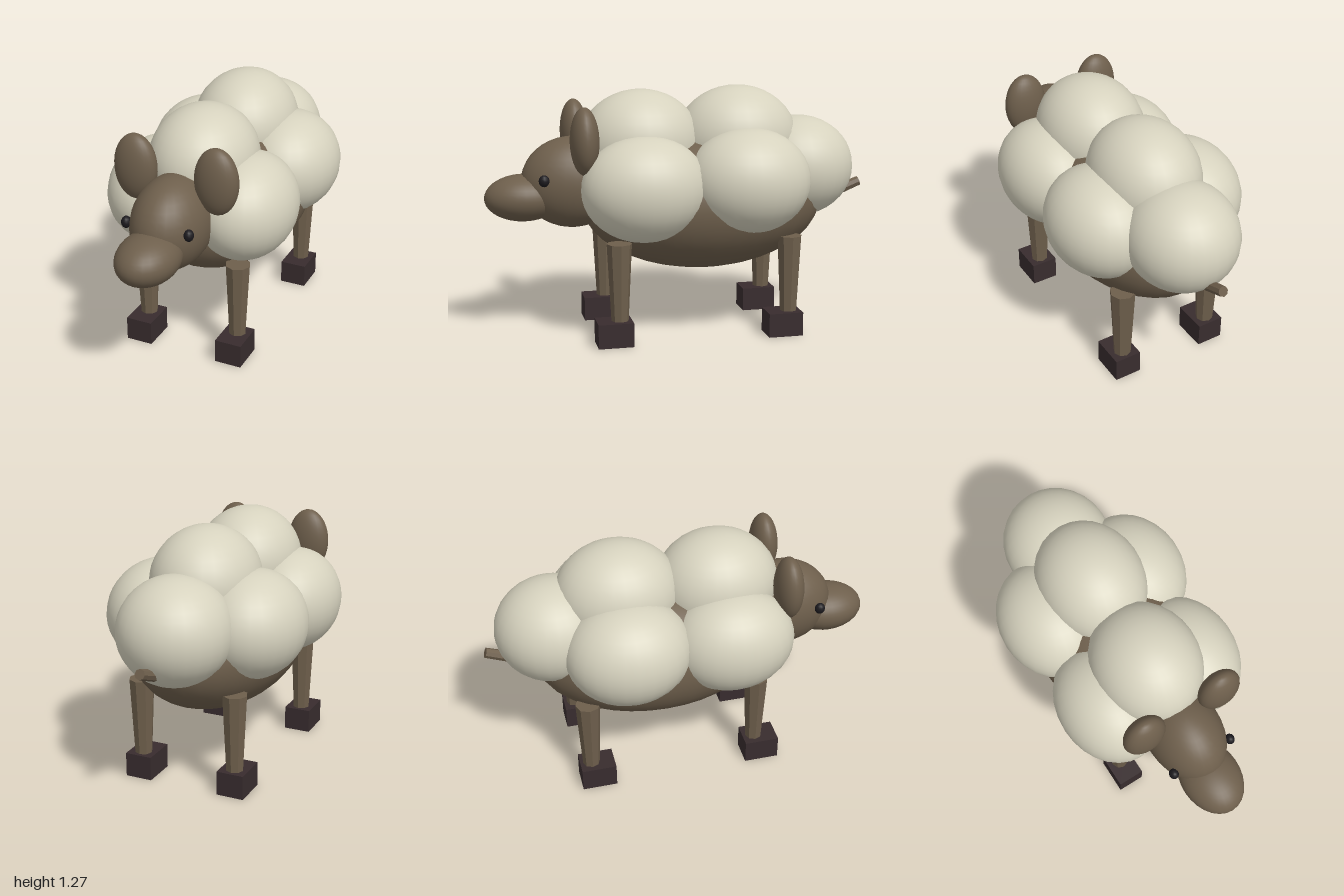
import * as THREE from 'three';

const material = (name, color) => {
  const m = new THREE.MeshStandardMaterial({ color });
  m.name = name;
  return m;
};

export function createModel() {
  const wool = material('cream wool', 0xd6d2be);
  const hide = material('brown hide', 0x6e5f4c);
  const hoofColor = material('dark hoof', 0x382c2e);
  const eyeColor = material('eye black', 0x1c1a1e);
  const model = new THREE.Group();
  model.name = 'sheep';

  const add = (name, geometry, mat, [x, y, z]) => {
    const mesh = new THREE.Mesh(geometry, mat);
    mesh.name = name;
    mesh.position.set(x, y, z);
    model.add(mesh);
    return mesh;
  };
  const ellipsoid = (name, mat, center, radii, segments = 28) =>
    add(name, new THREE.SphereGeometry(1, segments, Math.round(segments * 0.7)).scale(...radii), mat, center);
  // Faceted tapered post
  const post = (top, bottom, height, sides) => {
    const g = new THREE.CylinderGeometry(top, bottom, height, sides).toNonIndexed();
    g.computeVertexNormals();
    return g;
  };

  // Body, head and muzzle
  ellipsoid('body', hide, [0, 0.68, -0.13], [0.4, 0.355, 0.635], 32);
  ellipsoid('head', hide, [0, 0.798, 0.55], [0.19, 0.234, 0.265]);
  ellipsoid('muzzle', hide, [0, 0.725, 0.8], [0.15, 0.12, 0.2]);

  // Wool along the back and over the rump
  ellipsoid('frontTopWool', wool, [0, 0.985, 0.2], [0.272, 0.278, 0.315]);
  ellipsoid('rearTopWool', wool, [0, 0.995, -0.31], [0.272, 0.28, 0.32]);
  ellipsoid('rumpWool', wool, [0, 0.842, -0.645], [0.28, 0.267, 0.295]);

  // Mirrored parts
  for (const [side, s] of [['left', 1], ['right', -1]]) {
    ellipsoid(`${side}FrontWool`, wool, [s * 0.24, 0.787, 0.22], [0.252, 0.267, 0.32]);
    ellipsoid(`${side}RearWool`, wool, [s * 0.243, 0.81, -0.31], [0.272, 0.27, 0.32]);
    ellipsoid(`${side}Ear`, hide, [s * 0.213, 1.03, 0.515], [0.112, 0.169, 0.072], 24);
    ellipsoid(`${side}Eye`, eyeColor, [s * 0.164, 0.833, 0.712], [0.024, 0.03, 0.027], 12);

    for (const [end, z] of [['Front', 0.355], ['Rear', -0.53]]) {
      add(`${side}${end}Leg`, post(0.064, 0.044, 0.4, 8), hide, [s * 0.253, 0.32, z]);
      add(`${side}${end}Hoof`, new THREE.BoxGeometry(0.14, 0.124, 0.18), hoofColor, [s * 0.253, 0.062, z + 0.03]);
    }
  }

  // Short tail, angled up and back
  const tail = add('tail', post(0.026, 0.03, 0.2, 8), hide, [0, 0.708, -0.9]);
  tail.rotation.x = -1.2;

  return model;
}
